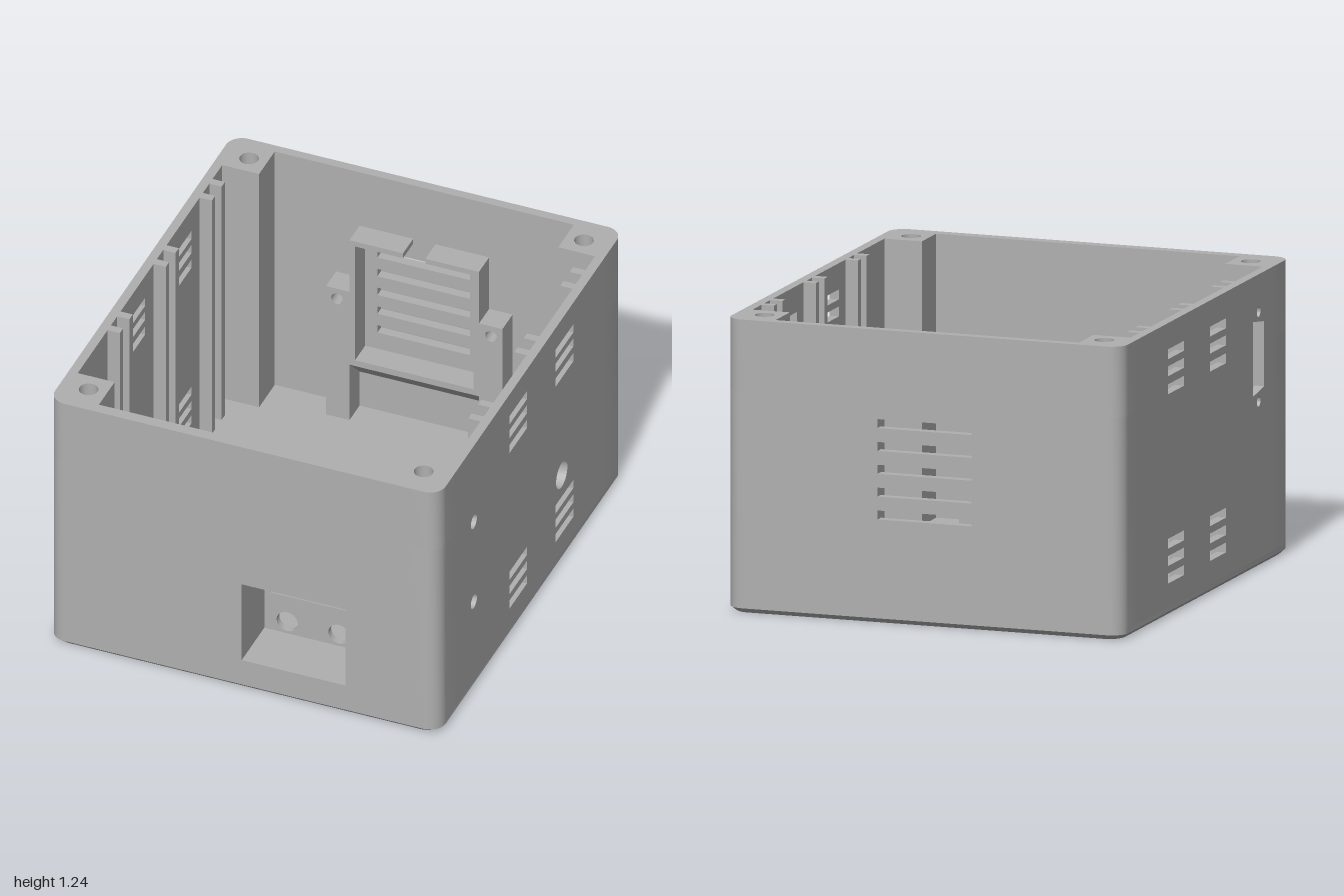
import * as THREE from 'three';
import { toCreasedNormals } from 'three/addons/utils/BufferGeometryUtils.js';

const W = 0.875, L = 1, H = 1.24;      // half width, half length, height
const IX = 0.835, BACK = -0.96, FRONT = 0.95; // inner wall faces
const FLOOR = 0.04, R = 0.07;

export function createModel() {
  const model = new THREE.Group();
  model.name = 'enclosure';
  const grey = new THREE.MeshStandardMaterial({ color: 0xb0b0b0 });
  grey.name = 'grey plastic';

  const add = (name, geo) => {
    const mesh = new THREE.Mesh(geo, grey);
    mesh.name = name;
    model.add(mesh);
    return mesh;
  };
  const box = (name, x0, x1, y0, y1, z0, z1) => {
    const g = new THREE.BoxGeometry(x1 - x0, y1 - y0, z1 - z0);
    g.translate((x0 + x1) / 2, (y0 + y1) / 2, (z0 + z1) / 2);
    return add(name, g);
  };
  const rect = (a0, a1, b0, b1, Type = THREE.Path) => new Type([
    [a0, b0], [a1, b0], [a1, b1], [a0, b1]].map(p => new THREE.Vector2(...p)));
  const circle = (a, b, r) => new THREE.Path().absarc(a, b, r, 0, Math.PI * 2);
  const extrude = (shape, depth, steps = 1) => new THREE.ExtrudeGeometry(shape,
    { depth, steps, bevelEnabled: false, curveSegments: 10 });
  const smooth = g => toCreasedNormals(g, 0.6);

  // Panel facing z, from z0 to z1, with cutouts in x, y
  const panelZ = (name, outline, holes, z0, z1) => {
    outline.holes = holes;
    return add(name, smooth(extrude(outline, z1 - z0).translate(0, 0, z0)));
  };
  // Panel facing x, with cutouts in z, y
  const panelX = (name, outline, holes, x0, x1) => {
    outline.holes = holes;
    return add(name, smooth(extrude(outline, x1 - x0).rotateY(-Math.PI / 2).translate(x1, 0, 0)));
  };

  // Floor with rounded corners and a chamfered lower edge
  const base = new THREE.Shape();
  base.absarc(W - R, L - R, R, 0, Math.PI / 2);
  base.absarc(-W + R, L - R, R, Math.PI / 2, Math.PI);
  base.absarc(-W + R, -L + R, R, Math.PI, Math.PI * 1.5);
  base.absarc(W - R, -L + R, R, Math.PI * 1.5, Math.PI * 2);
  const floor = extrude(base, FLOOR, 2).rotateX(-Math.PI / 2);
  const p = floor.attributes.position;
  for (let i = 0; i < p.count; i++) {
    if (p.getY(i) < 0.001) p.setXYZ(i, p.getX(i) * (1 - 0.02 / W), 0, p.getZ(i) * 0.98);
  }
  add('floor', smooth(floor));

  // Corner posts with blind screw holes in the top
  const postX = 0.67, holeDepth = 0.3;
  for (const sx of [-1, 1]) for (const sz of [-1, 1]) {
    const inner = sz > 0 ? 0.78 : 0.79;
    const footprint = () => {
      const s = new THREE.Shape();
      const at = (x, z) => [sx * x, -sz * z];
      s.moveTo(...at(postX, inner));
      s.lineTo(...at(W, inner));
      for (let i = 0; i <= 10; i++) {
        const a = i / 10 * Math.PI / 2;
        s.lineTo(...at(W - R + R * Math.cos(a), L - R + R * Math.sin(a)));
      }
      s.lineTo(...at(postX, L));
      return s;
    };
    add('cornerPost', smooth(extrude(footprint(), H - holeDepth - FLOOR)
      .rotateX(-Math.PI / 2).translate(0, FLOOR, 0)));
    const top = footprint();
    top.holes = [circle(sx * 0.75, -sz * (sz > 0 ? 0.868 : 0.875), 0.041)];
    add('cornerPostTop', smooth(extrude(top, holeDepth)
      .rotateX(-Math.PI / 2).translate(0, H - holeDepth, 0)));
  }

  // Front wall with the connector recess opening
  panelZ('frontWall', rect(-postX, postX, FLOOR, H, THREE.Shape),
    [rect(-0.01, 0.455, 0.145, 0.535)], FRONT, L);

  // Back wall with five fan slots
  const fanSlots = [];
  for (let i = 0; i < 5; i++) {
    const y = 0.457 + i * 0.0965;
    fanSlots.push(rect(-0.21, 0.205, y - 0.019, y + 0.019));
  }
  panelZ('backWall', rect(-postX, postX, FLOOR, H, THREE.Shape), fanSlots, -L, BACK);

  // Side walls with vent slots and ports
  const vents = () => {
    const list = [];
    for (const [z0, z1] of [[0.048, 0.236], [-0.455, -0.263]])
      for (const y of [0.16, 0.234, 0.307, 0.96, 1.036, 1.108])
        list.push(rect(z0, z1, y - 0.021, y + 0.021));
    return list;
  };
  const side = () => rect(-0.79, 0.78, FLOOR, H, THREE.Shape);
  panelX('leftWall', side(), [...vents(), circle(0.625, 0.85, 0.033),
    circle(0.625, 0.44, 0.033), circle(-0.33, 0.44, 0.062)], IX, W);
  const port = new THREE.Path([[0.56, 0.735], [0.69, 0.755], [0.69, 1.03], [0.56, 1.05]]
    .map(v => new THREE.Vector2(...v)));
  panelX('rightWall', side(), [...vents(), port,
    circle(0.625, 1.082, 0.022), circle(0.625, 0.703, 0.022)], -W, -IX);

  // Paired guide rails for circuit boards
  for (const s of [-1, 1]) for (const z of [-0.685, -0.58, -0.185, -0.08, 0.315, 0.42]) {
    const x = [s * 0.78, s * IX].sort((a, b) => a - b);
    box('guideRail', x[0], x[1], FLOOR, H, z, z + 0.036);
  }

  // Connector recess behind the front opening
  const rz = 0.725;
  box('recessSide', -0.04, -0.01, FLOOR, 0.565, rz, FRONT);
  box('recessSide', 0.455, 0.485, FLOOR, 0.565, rz, FRONT);
  box('recessTop', -0.01, 0.455, 0.535, 0.565, rz, FRONT);
  box('recessFloor', -0.01, 0.455, FLOOR, 0.145, rz, FRONT);
  panelZ('recessBack', rect(-0.01, 0.455, 0.145, 0.535, THREE.Shape),
    [rect(0.018, 0.426, 0.335, 0.528), circle(0.093, 0.205, 0.048),
      circle(0.325, 0.205, 0.048)], rz, rz + 0.03);

  // Fan holder on the back wall: side walls, top tabs and screw wings
  const fz = -0.85;
  for (const s of [-1, 1]) {
    const span = (a, b) => s > 0 ? [a, b] : [-b, -a];
    box('fanHolderSide', ...span(0.265, 0.29), 0.355, 0.965, BACK, fz);
    box('fanHolderTab', ...span(0.05, 0.265), 0.94, 0.965, BACK, fz);
    box('fanHolderWing', ...span(0.29, 0.395), FLOOR, 0.7, BACK, -0.91);
    panelZ('fanHolderWingFace', rect(...span(0.29, 0.395), FLOOR, 0.7, THREE.Shape),
      [circle(s * 0.345, 0.648, 0.027)], -0.91, fz);
  }
  // Ledge under the fan with a sloped underside
  panelX('fanHolderLedge', new THREE.Shape([[BACK, 0.215], [fz, 0.325], [fz, 0.355], [BACK, 0.355]]
    .map(v => new THREE.Vector2(...v))), [], -0.29, 0.29);

  return model;
}
